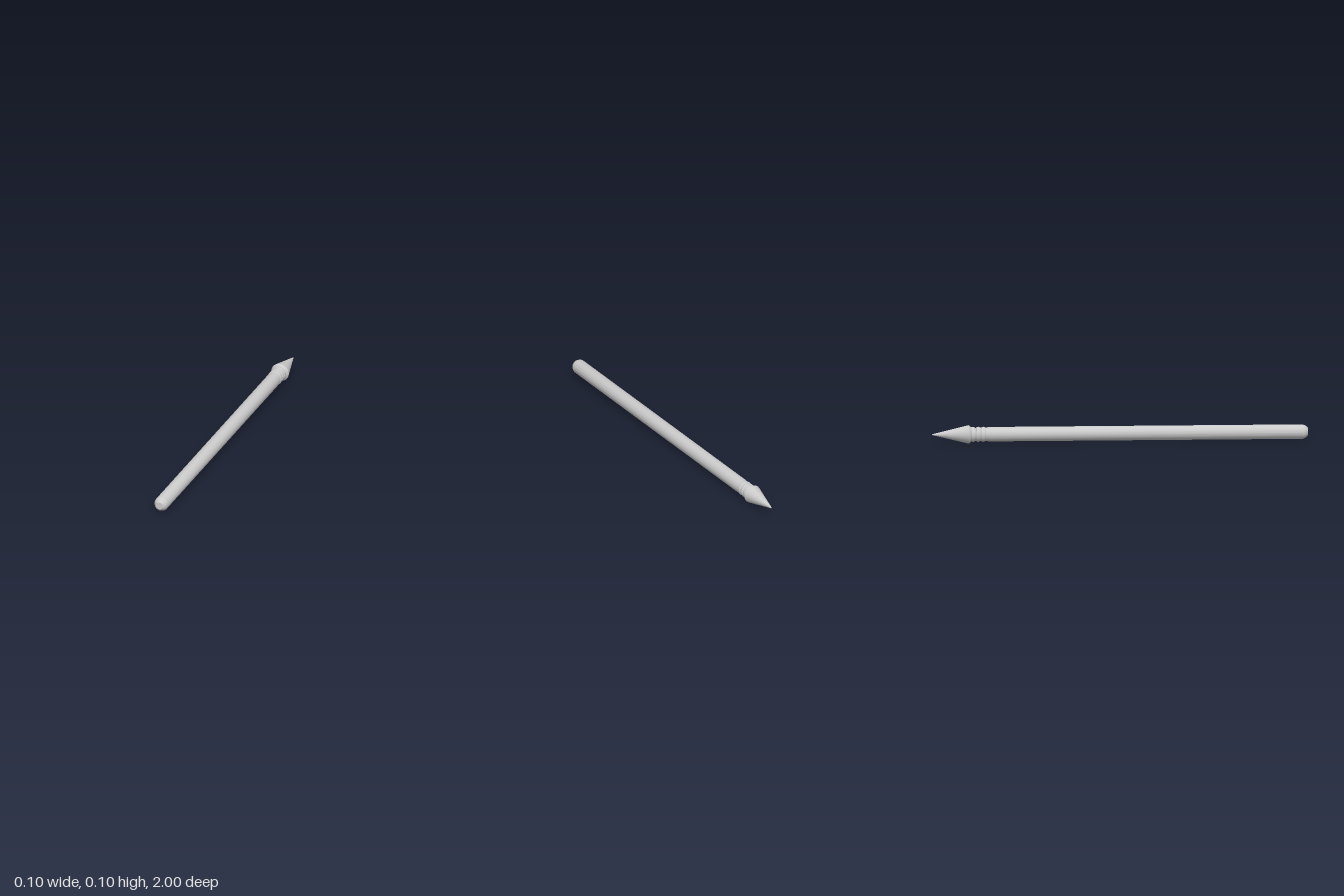
import * as THREE from 'three';
import { toCreasedNormals } from 'three/addons/utils/BufferGeometryUtils.js';

const AXIS_Y = 0.05;
const material = new THREE.MeshStandardMaterial({ color: 0xcccccc, side: THREE.DoubleSide });

// Turned part lying along z; profile is [radius, distance toward the tip (-z)]
function turned(name, profile, sides = 16) {
  const points = profile.map(([r, d]) => new THREE.Vector2(r, d));
  const geometry = new THREE.LatheGeometry(points, sides);
  geometry.rotateX(-Math.PI / 2);
  const mesh = new THREE.Mesh(toCreasedNormals(geometry, 0.5), material);
  mesh.name = name;
  mesh.position.y = AXIS_Y;
  return mesh;
}

export function createModel() {
  const group = new THREE.Group();
  group.name = 'boltProjectile';

  // Long shaft with a chamfered butt and a slight taper into the neck
  group.add(turned('shaft', [
    [0, -1], [0.02, -1], [0.032, -0.988], [0.039, -0.972],
    [0.039, 0.69], [0.036, 0.72], [0.034, 0.8], [0, 0.8],
  ]));

  // Raised binding rings around the neck
  for (let i = 0; i < 3; i++) {
    const d = 0.715 + i * 0.027;
    group.add(turned('neckBinding', [
      [0.034, d], [0.039, d + 0.004], [0.041, d + 0.012], [0.039, d + 0.02], [0.034, d + 0.024],
    ]));
  }

  // Conical point with a short flared base
  group.add(turned('pointedHead', [
    [0, 0.79], [0.038, 0.79], [0.05, 0.803], [0.003, 0.997], [0, 1],
  ]));

  return group;
}
